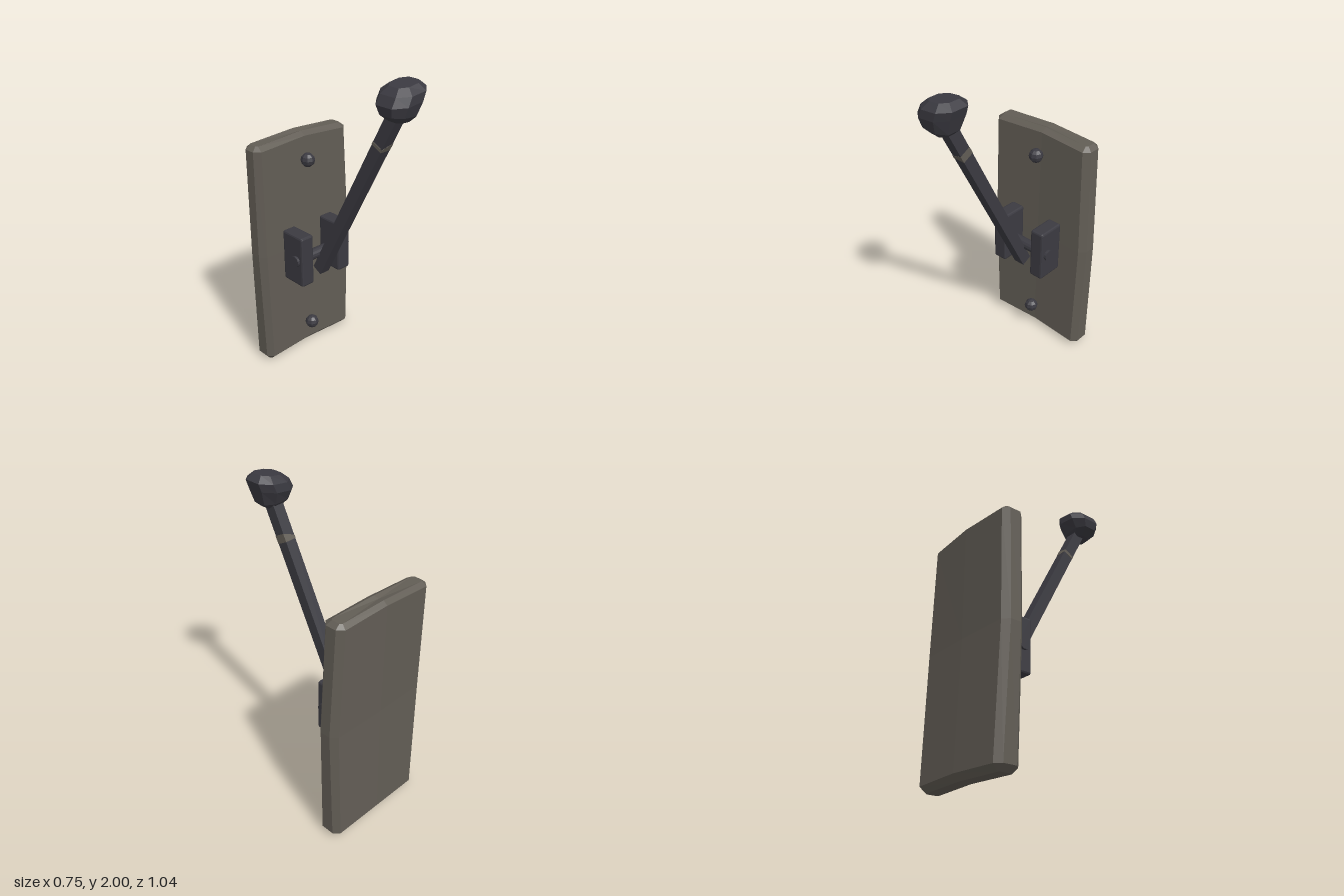
import * as THREE from 'three';
import { RoundedBoxGeometry } from 'three/addons/geometries/RoundedBoxGeometry.js';

const metal = new THREE.MeshStandardMaterial({ color: 0x3b3a41, flatShading: true });
metal.name = 'dark iron';
const stone = new THREE.MeshStandardMaterial({ color: 0x625d55, flatShading: true });
stone.name = 'warm grey';

// Closed faceted solid from rings stacked upwards, each running +x, +z, -x, -z
function loft(rings) {
  const n = rings[0].length, pos = [], index = [];
  rings.forEach(r => r.forEach(p => pos.push(...p)));
  for (let i = 0; i < rings.length - 1; i++) {
    for (let j = 0; j < n; j++) {
      const a = i * n + j, b = i * n + (j + 1) % n;
      index.push(a, a + n, b + n, a, b + n, b);
    }
  }
  [0, rings.length - 1].forEach((i, top) => {
    const c = pos.length / 3;
    for (let k = 0; k < 3; k++) pos.push(rings[i].reduce((s, p) => s + p[k], 0) / n);
    for (let j = 0; j < n; j++) {
      const a = i * n + j, b = i * n + (j + 1) % n;
      index.push(c, ...(top ? [b, a] : [a, b]));
    }
  });
  const g = new THREE.BufferGeometry();
  g.setAttribute('position', new THREE.Float32BufferAttribute(pos, 3));
  g.setIndex(index);
  const flat = g.toNonIndexed();
  flat.computeVertexNormals();
  return flat;
}

// Bevelled slab section with a slightly sunken front centre line
function slabRing([y, xl, xr, zf, zb, b, crown]) {
  return [
    [xr, zf - b], [xr - b, zf], [0, zf - 0.01], [xl + b, zf], [xl, zf - b],
    [xl, zb + b], [xl + b, zb], [0, zb - 0.006], [xr - b, zb], [xr, zb + b],
  ].map(([x, z]) => [x, x === 0 ? y + crown : y, z]);
}

// Chamfered rectangle section for the lumpy knob
function knobRing([y, xl, xr, zb, zf, tilt]) {
  const cx = (xr - xl) * 0.27, cz = (zf - zb) * 0.25;
  return [
    [xr, zf - cz], [xr - cx, zf], [xl + cx, zf], [xl, zf - cz],
    [xl, zb + cz], [xl + cx, zb], [xr - cx, zb], [xr, zb + cz],
  ].map(([x, z]) => [x, y + tilt * x, z]);
}

export function createModel() {
  const model = new THREE.Group();
  const add = (name, geometry, material, x = 0, y = 0, z = 0, parent = model) => {
    const m = new THREE.Mesh(geometry, material);
    m.name = name;
    m.position.set(x, y, z);
    parent.add(m);
    return m;
  };

  // Backplate: bottom, lower rim, bulging middle, upper rim, top
  add('backplate', loft([
    [0.005, -0.33, 0.325, -0.395, -0.48, 0.012, 0.008],
    [0.04, -0.36, 0.36, -0.36, -0.515, 0.035, 0.01],
    [0.8, -0.38, 0.375, -0.355, -0.497, 0.037, 0],
    [1.49, -0.372, 0.345, -0.362, -0.502, 0.035, 0.018],
    [1.515, -0.342, 0.315, -0.4, -0.475, 0.012, 0.015],
  ].map(slabRing)), stone);

  // Bolt heads
  for (const [name, y] of [['lowerBolt', 0.187], ['upperBolt', 1.365]]) {
    add(name, new THREE.SphereGeometry(0.045, 8, 6), metal, -0.01, y, -0.336);
  }

  // Pivot brackets and axle
  for (const [name, x] of [['rightBracket', -0.163], ['leftBracket', 0.142]]) {
    add(name, new RoundedBoxGeometry(0.095, 0.34, 0.18, 1, 0.012), metal, x, 0.775, -0.27);
  }
  const axle = new THREE.CylinderGeometry(0.035, 0.035, 0.432, 14).rotateZ(Math.PI / 2);
  add('axle', axle, metal, -0.01, 0.775, -0.235);

  // Leaning lever, its base at the group origin
  const lever = new THREE.Group();
  lever.name = 'lever';
  lever.position.set(-0.01, 0.647, -0.232);
  lever.rotation.x = Math.atan2(0.463, 0.886);
  model.add(lever);
  const length = 1.36;
  add('leverRod', new THREE.BoxGeometry(0.073, length, 0.073), metal, 0, length / 2, 0, lever);

  // Worn band, wider on the left side of the rod
  const band = new THREE.BoxGeometry(0.076, 0.05, 0.076);
  const p = band.attributes.position;
  for (let i = 0; i < p.count; i++) {
    if (p.getX(i) < 0) p.setY(i, p.getY(i) * 0.4 - 0.012);
  }
  band.computeVertexNormals();
  add('wornBand', band, stone, 0, 1.112, 0, lever);

  // Lumpy knob
  add('knob', loft([
    [1.795, -0.07, 0.035, 0.355, 0.455, -0.05],
    [1.83, -0.125, 0.07, 0.325, 0.49, -0.08],
    [1.905, -0.137, 0.1, 0.293, 0.515, 0.1],
    [1.955, -0.11, 0.118, 0.297, 0.515, 0.1],
    [1.99, -0.07, 0.08, 0.34, 0.475, 0.13],
  ].map(knobRing)), metal);

  return model;
}
